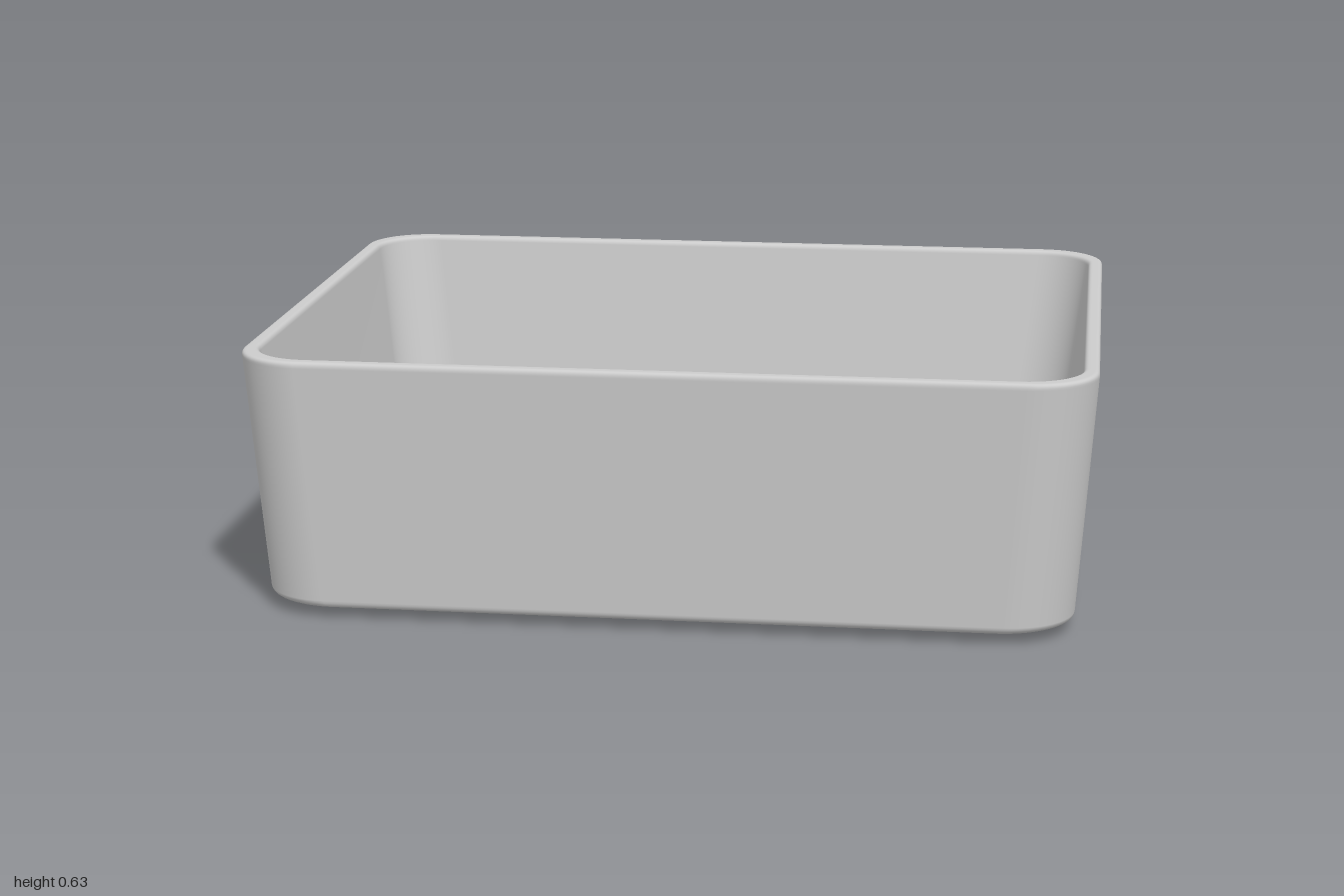
import * as THREE from 'three';

const material = new THREE.MeshStandardMaterial({ color: 0xcccccc });
const DEPTH_DIFF = 0.21; // half width minus half depth
const CORNER_STEPS = 12;

// Rounded rectangle outline at height y, half width w and corner radius r
function ring(w, y, r) {
  const hx = w, hz = w - DEPTH_DIFF, points = [];
  const signs = [[1, 1], [-1, 1], [-1, -1], [1, -1]];
  signs.forEach(([sx, sz], q) => {
    for (let k = 0; k <= CORNER_STEPS; k++) {
      const a = (q + k / CORNER_STEPS) * Math.PI / 2;
      points.push(sx * (hx - r) + r * Math.cos(a), y, sz * (hz - r) + r * Math.sin(a));
    }
  });
  return points;
}

// Closed shell: rings follow the wall section from the underside, over the rim, to the floor
function basinGeometry() {
  const section = new THREE.Path();
  section.moveTo(0.935, 0.025);
  section.quadraticCurveTo(0.957, 0.025, 0.959, 0.045);
  section.lineTo(0.999, 0.615);
  section.quadraticCurveTo(1, 0.63, 0.988, 0.63);
  section.lineTo(0.974, 0.63);
  section.quadraticCurveTo(0.964, 0.63, 0.962, 0.618);
  section.lineTo(0.9, 0.125);
  section.quadraticCurveTo(0.896, 0.095, 0.87, 0.095);
  const profile = section.getPoints(6);

  const n = 4 * (CORNER_STEPS + 1), last = profile.length - 1;
  const positions = [], index = [];
  profile.forEach((p, i) => {
    positions.push(...ring(p.x, p.y, THREE.MathUtils.lerp(0.17, 0.13, i / last)));
  });
  const under = positions.length / 3, floor = under + 1;
  positions.push(0, profile[0].y, 0, 0, profile[last].y, 0);

  for (let j = 0; j < n; j++) {
    const k = (j + 1) % n;
    for (let i = 0; i < last; i++) {
      const a = i * n + j, b = i * n + k;
      index.push(a, a + n, b, b, a + n, b + n);
    }
    index.push(under, j, k, floor, last * n + k, last * n + j);
  }
  const geometry = new THREE.BufferGeometry();
  geometry.setAttribute('position', new THREE.Float32BufferAttribute(positions, 3));
  geometry.setIndex(index);
  geometry.computeVertexNormals();
  return geometry;
}

function addPart(group, name, geometry) {
  const mesh = new THREE.Mesh(geometry, material);
  mesh.name = name;
  group.add(mesh);
  return mesh;
}

export function createModel() {
  const group = new THREE.Group();
  group.name = 'washBasin';

  addPart(group, 'basin', basinGeometry());

  // Low, slightly domed cover in the middle of the floor
  const cover = [[0.1, 0.09], [0.1, 0.102], [0.097, 0.106], [0.085, 0.109], [0.045, 0.112], [0, 0.113]];
  addPart(group, 'drainCover', new THREE.LatheGeometry(cover.map(([x, y]) => new THREE.Vector2(x, y)), 48));

  // Short outlet under the basin
  const outlet = addPart(group, 'drainOutlet', new THREE.CylinderGeometry(0.075, 0.075, 0.04, 48));
  outlet.position.y = 0.02;

  return group;
}
